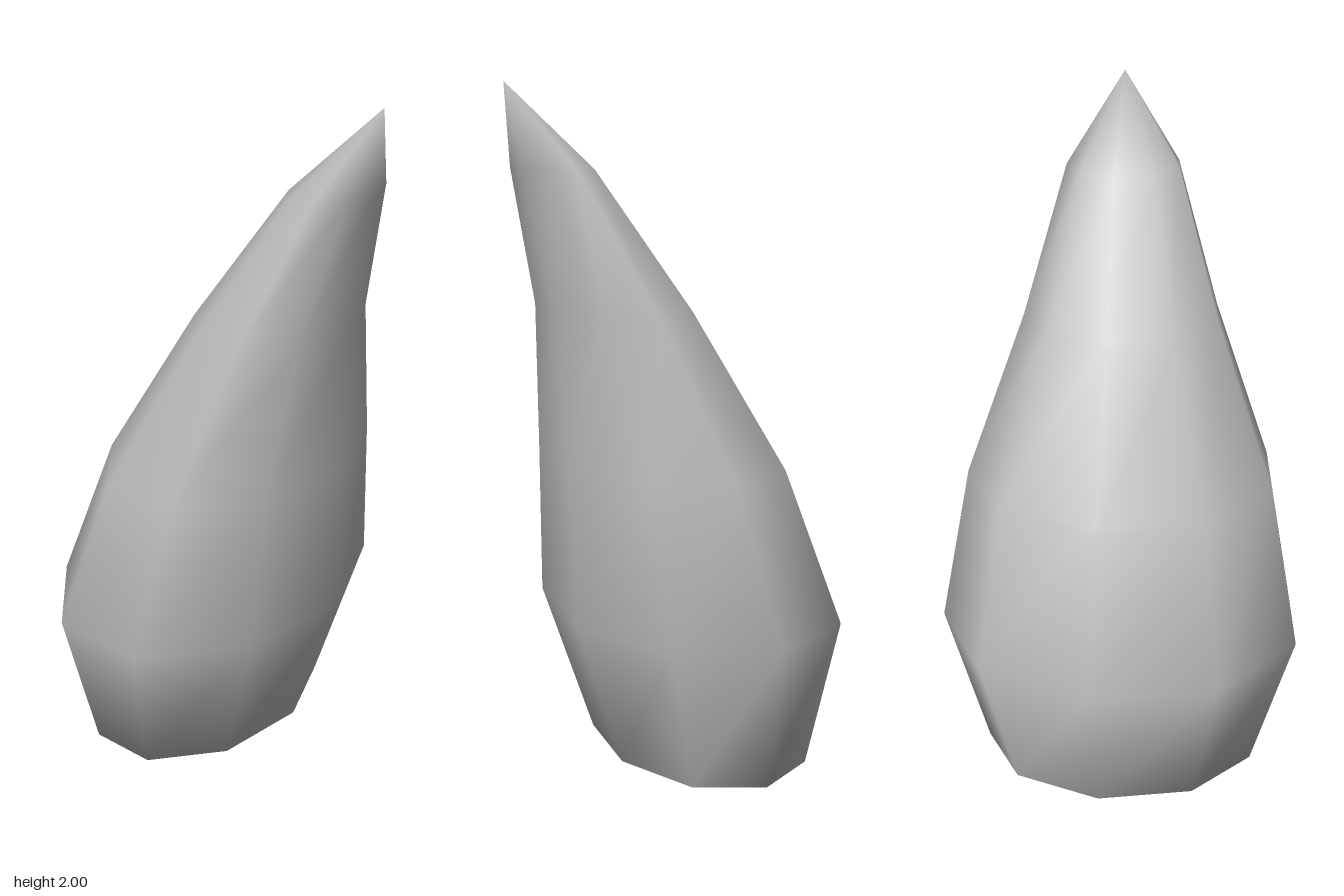
import * as THREE from 'three';

const SIDES = 9;
const CENTRE_X = -0.019;

// Cross-sections from base to point: height, centre z, half width, half depth
const RINGS = [
  [0.0, -0.105, 0.428, 0.3],
  [0.46, -0.075, 0.555, 0.427],
  [0.92, 0.022, 0.466, 0.338],
  [1.37, 0.17, 0.294, 0.213],
  [1.765, 0.355, 0.169, 0.107],
];
const TIP = [CENTRE_X, 2, 0.495];

function hornGeometry() {
  const positions = [];
  const index = [];
  for (const [y, z, rx, rz] of RINGS) {
    for (let i = 0; i < SIDES; i++) {
      const a = (i / SIDES) * Math.PI * 2;
      positions.push(CENTRE_X + rx * Math.cos(a), y, z + rz * Math.sin(a));
    }
  }
  positions.push(...TIP);

  // Walls between neighbouring rings
  const last = RINGS.length - 1;
  for (let r = 0; r < last; r++) {
    for (let i = 0; i < SIDES; i++) {
      const j = (i + 1) % SIDES;
      const a = r * SIDES + i, b = r * SIDES + j;
      index.push(a, a + SIDES, b, b, a + SIDES, b + SIDES);
    }
  }
  // Point
  const tip = RINGS.length * SIDES;
  for (let i = 0; i < SIDES; i++) {
    index.push(last * SIDES + i, tip, last * SIDES + ((i + 1) % SIDES));
  }
  // Flat base, sharing its vertices so the rim shades smoothly
  for (let i = 1; i < SIDES - 1; i++) index.push(0, i, i + 1);

  const geometry = new THREE.BufferGeometry();
  geometry.setAttribute('position', new THREE.Float32BufferAttribute(positions, 3));
  geometry.setIndex(index);
  geometry.computeVertexNormals();
  return geometry;
}

export function createModel() {
  const grey = new THREE.MeshStandardMaterial({ color: 0xbcbcbc });
  grey.name = 'grey';

  const horn = new THREE.Mesh(hornGeometry(), grey);
  horn.name = 'horn';

  const model = new THREE.Group();
  model.name = 'curvedHorn';
  model.add(horn);
  return model;
}
